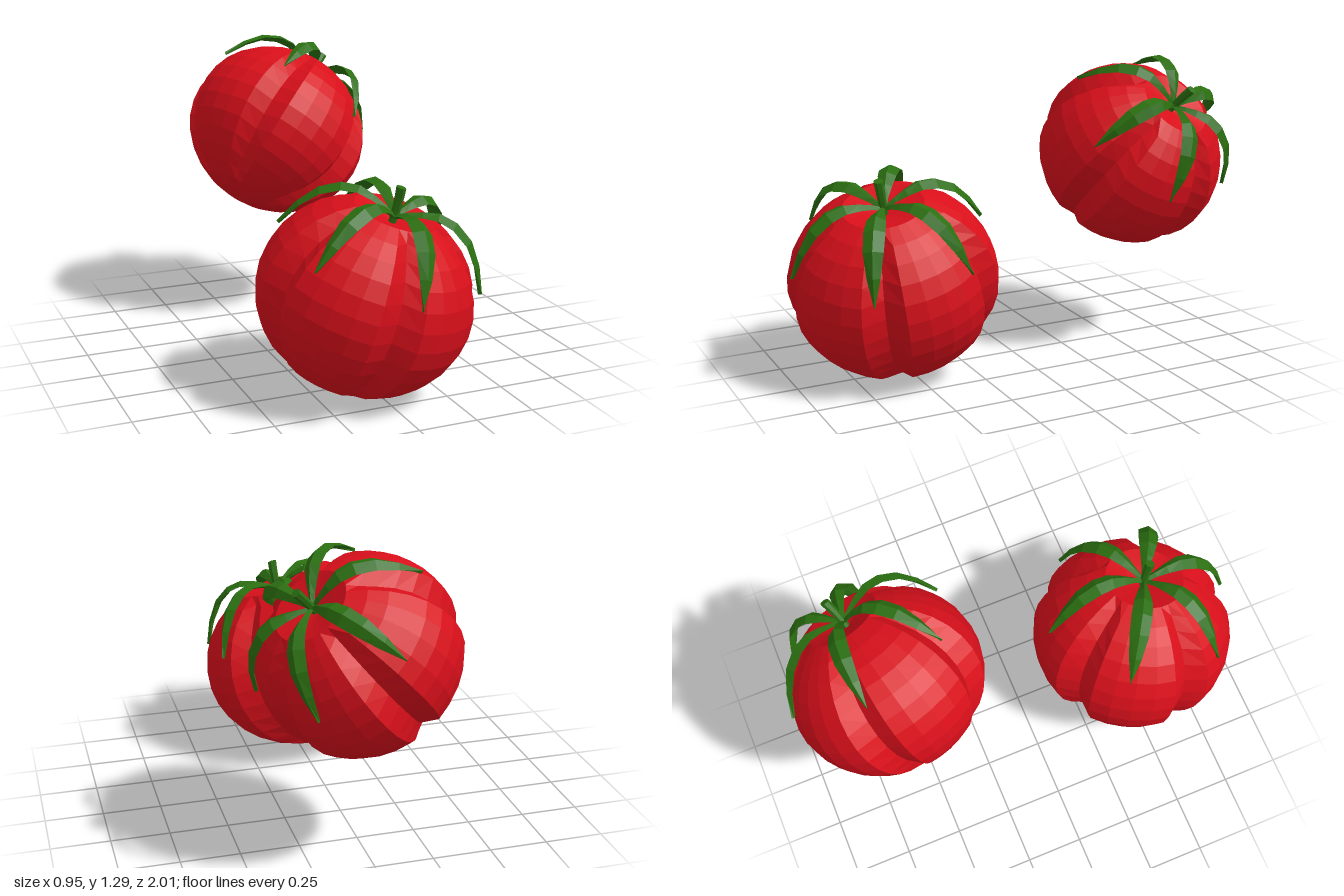
import * as THREE from 'three';

const rad = THREE.MathUtils.degToRad;
const red = new THREE.MeshStandardMaterial({ color: 0xd80f1a, flatShading: true });
const green = new THREE.MeshStandardMaterial({ color: 0x2b6f10, flatShading: true, side: THREE.DoubleSide });

// Squashed sphere with five V-shaped grooves and a dented crown
function bodyGeometry() {
  const cols = 30, rows = 16;
  const geo = new THREE.SphereGeometry(1, cols, rows);
  const pos = geo.attributes.position;
  for (let i = 0; i <= rows; i++) {
    const theta = (i / rows) * Math.PI;
    const crown = [0.33, 0.355, 0.375][i];
    for (let j = 0; j <= cols; j++) {
      const u = (j / cols) * Math.PI * 2;
      let r = 0.45 * Math.sin(theta);
      if (j % 6 === 0 && i >= 3 && i <= 13) r -= i === 3 || i === 13 ? 0.045 : 0.06;
      const y = crown ?? 0.405 * Math.cos(theta);
      pos.setXYZ(i * (cols + 1) + j, -Math.cos(u) * r, y, Math.sin(u) * r);
    }
  }
  geo.rotateY(rad(10));
  const flat = geo.toNonIndexed();
  flat.computeVertexNormals();
  return flat;
}

// Pointed leaf arching over the crown, with a diamond cross-section
function leafGeometry() {
  const path = new THREE.CatmullRomCurve3([
    [0.005, 0.36], [0.09, 0.4], [0.2, 0.42], [0.33, 0.345], [0.43, 0.17],
  ].map(([x, y]) => new THREE.Vector3(x, y, 0)));
  const widths = [0.012, 0.017, 0.028, 0.04, 0.045, 0.042, 0.028, 0.001];
  const verts = [], index = [];
  widths.forEach((w, i) => {
    const t = i / (widths.length - 1);
    const p = path.getPoint(t), d = path.getTangent(t);
    const h = 0.008 + w * 0.12;
    // ridge, edge, keel, edge
    [[h, 0], [-0.2 * w, w], [-h, 0], [-0.2 * w, -w]].forEach(([n, z]) =>
      verts.push(p.x - d.y * n, p.y + d.x * n, z));
    if (i === widths.length - 1) return;
    for (let k = 0; k < 4; k++) {
      const a = i * 4 + k, b = i * 4 + (k + 1) % 4;
      index.push(a, b, a + 4, b, b + 4, a + 4);
    }
  });
  const geo = new THREE.BufferGeometry();
  geo.setAttribute('position', new THREE.Float32BufferAttribute(verts, 3));
  geo.setIndex(index);
  const flat = geo.toNonIndexed();
  flat.computeVertexNormals();
  return flat;
}

// Short bent stalk, flaring at its cut end
function stemGeometry() {
  const geo = new THREE.CylinderGeometry(0.021, 0.016, 0.16, 7, 4);
  const pos = geo.attributes.position;
  for (let i = 0; i < pos.count; i++) {
    const t = pos.getY(i) / 0.16 + 0.5;
    pos.setX(i, pos.getX(i) - 0.015 * t * t);
  }
  geo.translate(0, 0.405, 0);
  geo.computeVertexNormals();
  return geo;
}

export function createModel() {
  const model = new THREE.Group();
  model.name = 'tomatoes';
  const body = bodyGeometry(), leaf = leafGeometry(), stem = stemGeometry();

  function addPart(parent, name, geometry, material) {
    const mesh = new THREE.Mesh(geometry, material);
    mesh.name = name;
    parent.add(mesh);
    return mesh;
  }

  // One fruit, spun about its stem and then tipped along the given axis
  function addTomato(name, center, axis, spin, scale) {
    const tomato = new THREE.Group();
    tomato.name = name;
    addPart(tomato, 'fruit', body, red);
    addPart(tomato, 'stem', stem, green);
    for (let i = 0; i < 6; i++) {
      addPart(tomato, 'leaf', leaf, green).rotation.y = rad(30 + i * 60);
    }
    const up = new THREE.Vector3(0, 1, 0);
    tomato.quaternion
      .setFromUnitVectors(up, new THREE.Vector3(...axis).normalize())
      .multiply(new THREE.Quaternion().setFromAxisAngle(up, -rad(spin)));
    tomato.position.set(...center);
    tomato.scale.setScalar(scale);
    model.add(tomato);
  }

  addTomato('frontTomato', [-0.03, 0.405, 0.55], [0.25, 0.94, 0.2], 0, 1);
  addTomato('backTomato', [0.02, 0.855, -0.58], [0.64, 0.72, -0.25], 97, 0.93);
  return model;
}
